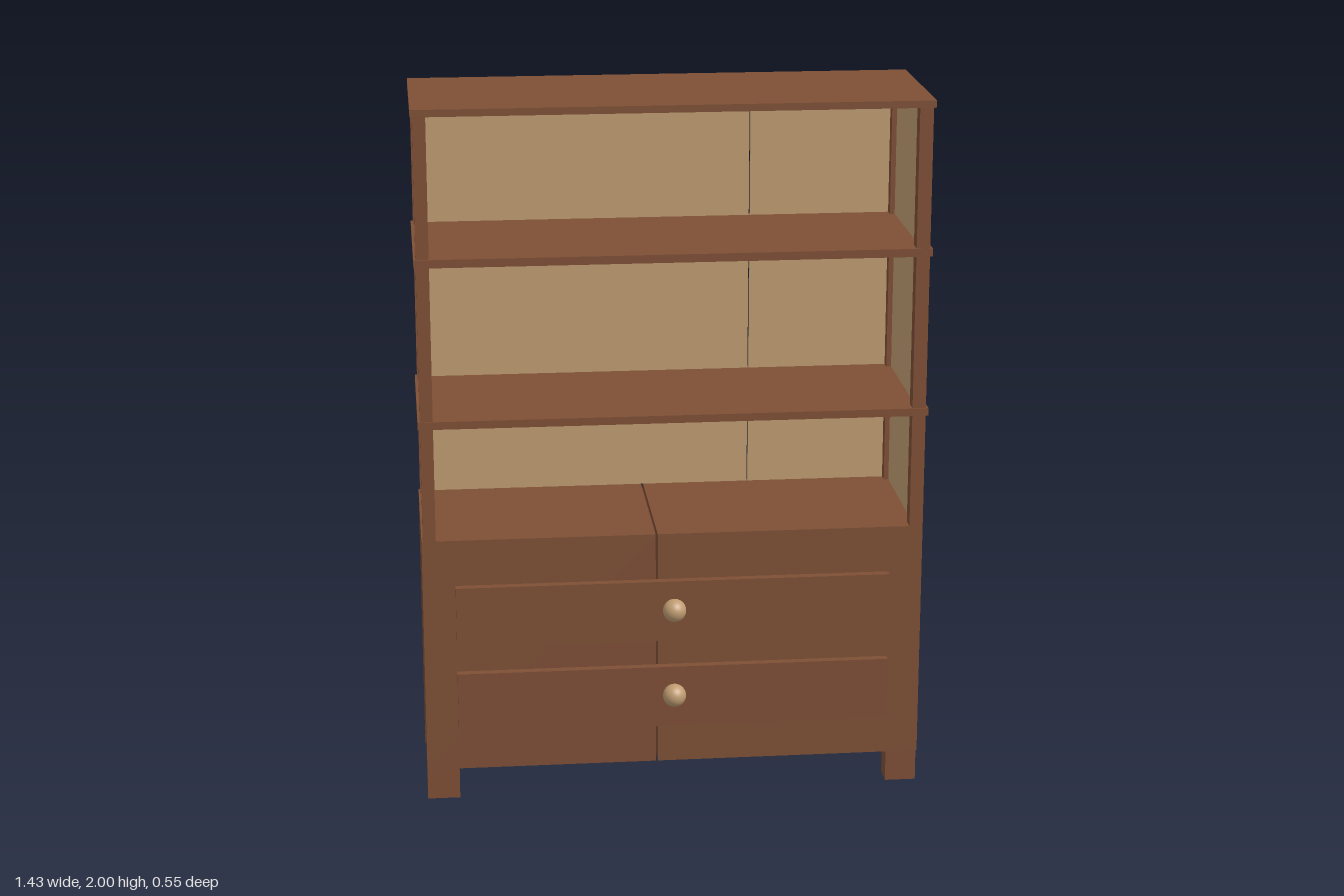
import * as THREE from 'three';

export function createModel() {
  const model = new THREE.Group();
  model.name = 'displayCabinet';
  const brown = new THREE.MeshStandardMaterial({ color: 0x7e4f35 });
  brown.name = 'brown wood';
  const tan = new THREE.MeshStandardMaterial({ color: 0xbf9c72 });
  tan.name = 'tan wood';

  // Box given by its minimum and maximum on each axis
  const box = (name, material, [x0, x1], [y0, y1], [z0, z1]) => {
    const mesh = new THREE.Mesh(new THREE.BoxGeometry(x1 - x0, y1 - y0, z1 - z0), material);
    mesh.position.set((x0 + x1) / 2, (y0 + y1) / 2, (z0 + z1) / 2);
    mesh.name = name;
    model.add(mesh);
  };

  // Lower cabinet: two halves with a narrow gap
  box('cabinetRight', brown, [-0.712, -0.055], [0.09, 0.78], [-0.27, 0.206]);
  box('cabinetLeft', brown, [-0.049, 0.706], [0.09, 0.78], [-0.27, 0.206]);

  // Feet and upper corner posts
  for (const [z0, z1] of [[-0.264, -0.198], [0.142, 0.206]]) {
    box('foot', brown, [-0.712, -0.62], [0, 0.09], [z0, z1]);
    box('foot', brown, [0.615, 0.703], [0, 0.09], [z0, z1]);
  }
  for (const [z0, z1] of [[-0.268, -0.224], [0.164, 0.206]]) {
    box('post', brown, [-0.708, -0.672], [0.78, 1.98], [z0, z1]);
    box('post', brown, [0.668, 0.706], [0.78, 1.98], [z0, z1]);
  }

  // Shelves and top board
  for (const [y0, y1] of [[1.107, 1.129], [1.565, 1.588], [1.98, 2]]) {
    box(y1 === 2 ? 'topBoard' : 'shelf', brown, [-0.714, 0.713], [y0, y1], [-0.274, 0.21]);
  }

  // Back panels with a hairline gap, and side panels
  box('backPanel', tan, [-0.672, 0.26], [0.78, 1.98], [-0.264, -0.254]);
  box('backPanel', tan, [0.263, 0.668], [0.78, 1.98], [-0.264, -0.254]);
  box('sidePanelRight', tan, [-0.694, -0.684], [0.78, 1.98], [-0.224, 0.164]);
  box('sidePanelLeft', tan, [0.682, 0.692], [0.78, 1.98], [-0.224, 0.164]);

  // Drawer fronts with round knobs
  for (const [y0, y1, knobY] of [[0.207, 0.388, 0.305], [0.468, 0.646, 0.563]]) {
    box('drawerFront', brown, [-0.62, 0.61], [y0, y1], [0.206, 0.23]);
    const knob = new THREE.Mesh(new THREE.SphereGeometry(0.033, 32, 20), tan);
    knob.position.set(-0.005, knobY, 0.241);
    knob.name = 'knob';
    model.add(knob);
  }
  return model;
}
